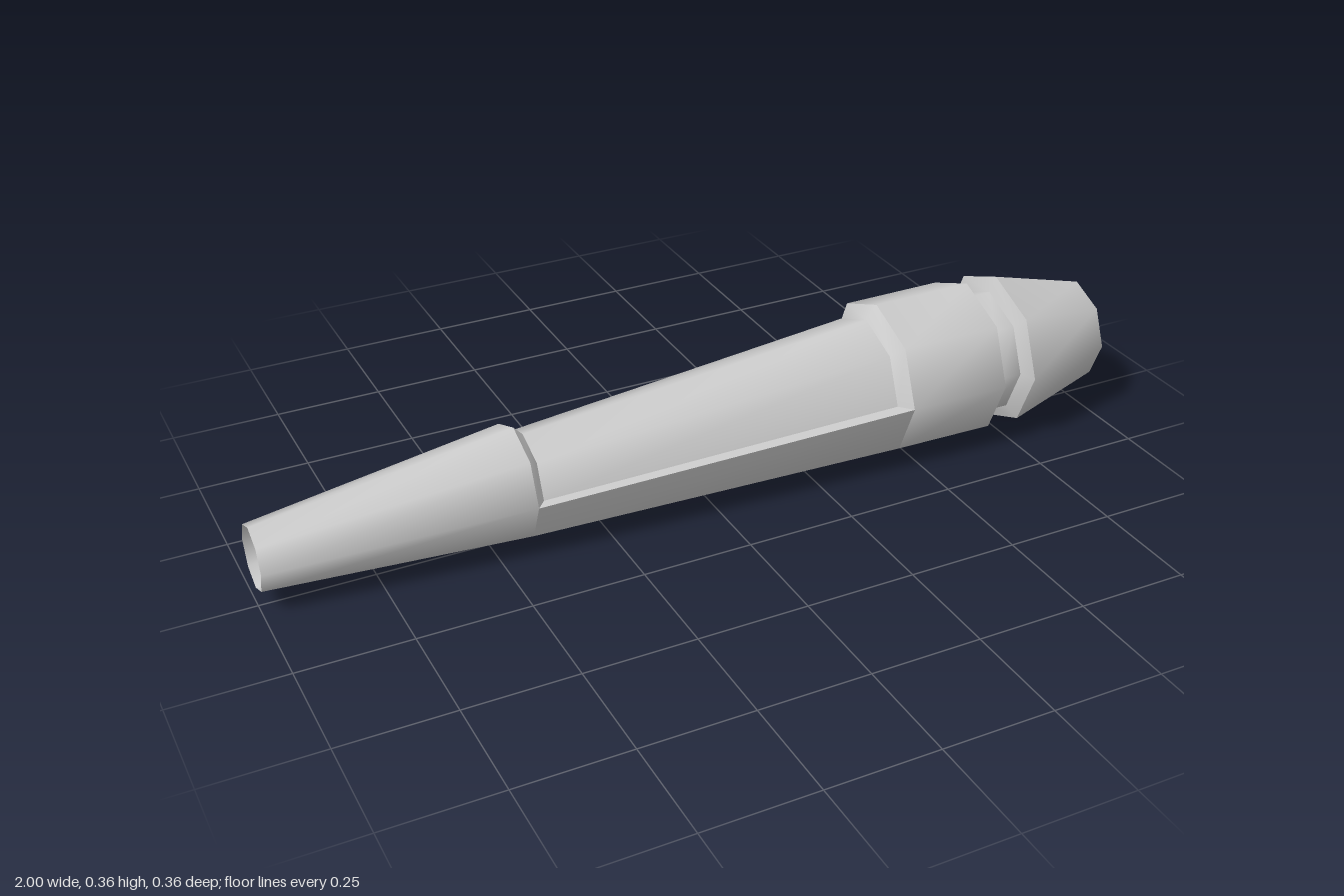
import * as THREE from 'three';

const SIDES = 8;

// A section is [x, centre height, radius] of an octagon ring across the x axis.
const tip = [-1, 0.117, 0.072];
const cutStart = [-0.43, 0.144, 0.127];
const coreStart = [-0.41, 0.145, 0.105];
const coreEnd = [0.42, 0.181, 0.148];
const cutEnd = [0.445, 0.182, 0.179];

function ringPoint([x, y, r], i) {
  const a = (i / SIDES) * Math.PI * 2;
  return [x, y + r * Math.sin(a), r * Math.cos(a)];
}

function makeGeometry(positions, indices) {
  const g = new THREE.BufferGeometry();
  g.setAttribute('position', new THREE.Float32BufferAttribute(positions, 3));
  g.setIndex(indices);
  g.computeVertexNormals();
  return g;
}

// Skin between two rings: smooth around, sharp at both ends
function band(from, to, first = 0, count = SIDES) {
  const pos = [], idx = [];
  const closed = count === SIDES;
  const n = closed ? count : count + 1;
  for (const s of [from, to]) {
    for (let i = 0; i < n; i++) pos.push(...ringPoint(s, first + i));
  }
  for (let i = 0; i < count; i++) {
    const j = closed ? (i + 1) % n : i + 1;
    idx.push(i, n + i, n + j, i, n + j, j);
  }
  return makeGeometry(pos, idx);
}

export function createModel() {
  const model = new THREE.Group();
  const grey = new THREE.MeshStandardMaterial({ color: 0xcccccc, side: THREE.DoubleSide });
  grey.name = 'light grey';

  function add(name, geometry) {
    const mesh = new THREE.Mesh(geometry, grey);
    mesh.name = name;
    model.add(mesh);
  }

  function addProfile(name, sections, first, count) {
    const group = new THREE.Group();
    group.name = name;
    for (let i = 0; i < sections.length - 1; i++) {
      const mesh = new THREE.Mesh(band(sections[i], sections[i + 1], first, count), grey);
      mesh.name = name + 'Band' + (i + 1);
      group.add(mesh);
    }
    model.add(group);
  }

  // Slim tapered front and the lower half of the grip
  add('taperedTip', band(tip, cutStart));
  add('lowerGrip', band(cutStart, cutEnd, SIDES / 2, SIDES / 2));

  // Recessed upper half with sloped end walls
  addProfile('recessedGrip', [cutStart, coreStart, coreEnd, cutEnd], 0, SIDES / 2);

  // Flat ledges along both sides of the recess
  for (const side of [0, SIDES / 2]) {
    const corners = [cutStart, cutEnd, coreEnd, coreStart].map((s) => ringPoint(s, side));
    if (side) corners.reverse();
    add(side ? 'backLedge' : 'frontLedge', makeGeometry(corners.flat(), [0, 1, 2, 0, 2, 3]));
  }

  // Collar, grooved neck and tapered end piece
  addProfile('collarAndEnd', [
    cutEnd,
    [0.685, 0.181, 0.181],
    [0.70, 0.181, 0.145],
    [0.75, 0.181, 0.145],
    [0.765, 0.181, 0.181],
    [1, 0.181, 0.118],
  ]);

  // Hollow ends, each closed by a floor
  addProfile('endSocket', [[1, 0.181, 0.118], [0.7, 0.181, 0.099], [0.7, 0.181, 0]]);
  addProfile('tipSocket', [[-0.78, 0.127, 0], [-0.78, 0.127, 0.066], tip]);

  return model;
}
